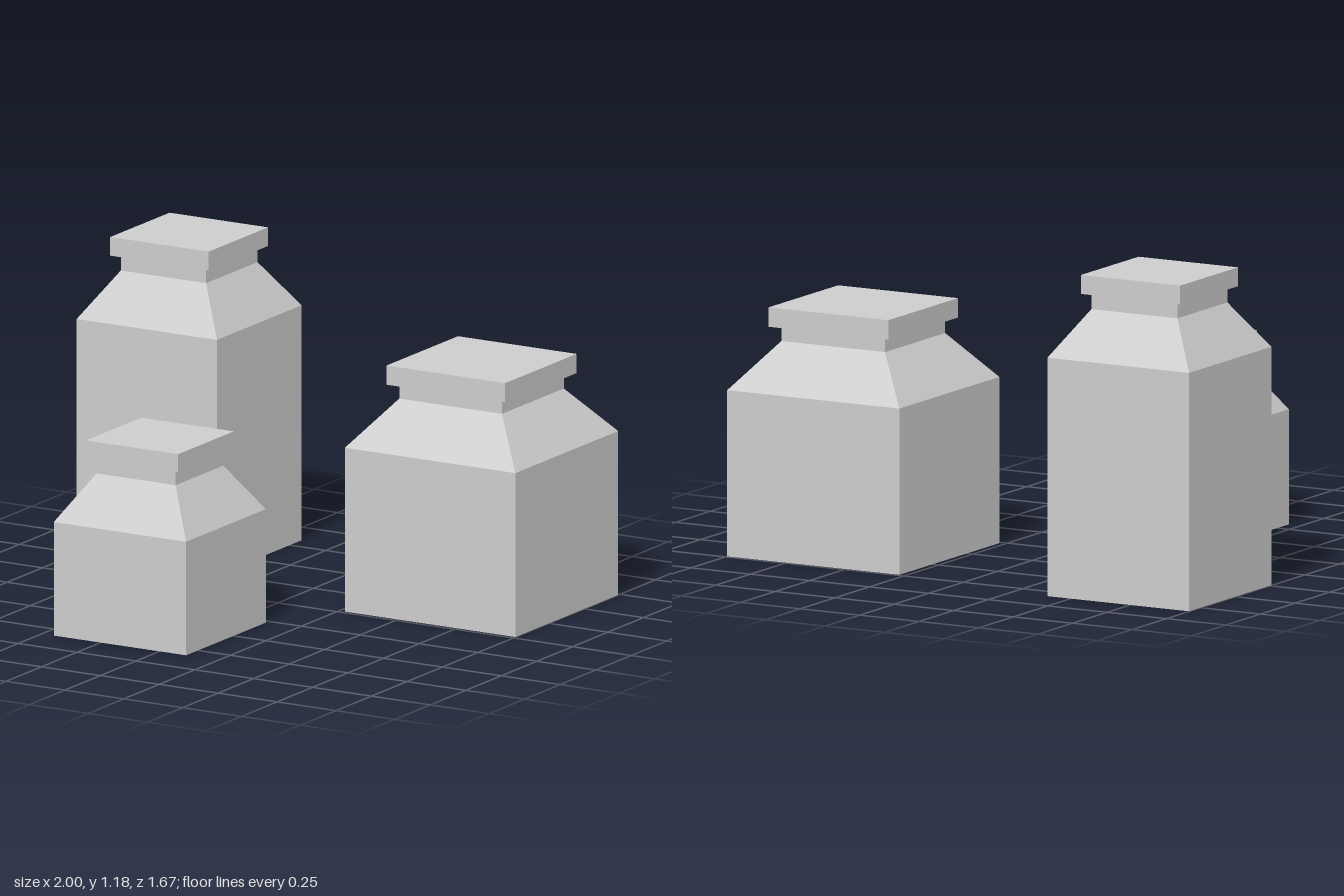
import * as THREE from 'three';

const grey = new THREE.MeshStandardMaterial({ color: 0xcccccc });
grey.name = 'plain grey';
grey.flatShading = true;

// Each jar: centre, half widths and the heights of its steps
const jars = [
  { name: 'tallJar', x: -0.70, z: -0.535, body: 0.298, neck: 0.181, lid: 0.209, y: [0.882, 1.054, 1.112, 1.182] },
  { name: 'smallJar', x: -0.168, z: 0.553, body: 0.281, neck: 0.168, lid: 0.196, y: [0.426, 0.599, 0.657, 0.725] },
  { name: 'wideJar', x: 0.637, z: -0.377, body: 0.362, neck: 0.218, lid: 0.252, y: [0.615, 0.787, 0.842, 0.914] },
];

// Square frustum standing on y0
function frustum(name, bottom, top, y0, y1) {
  const h = y1 - y0;
  const geometry = new THREE.CylinderGeometry(top * Math.SQRT2, bottom * Math.SQRT2, h, 4, 1, false, Math.PI / 4);
  const mesh = new THREE.Mesh(geometry, grey);
  mesh.name = name;
  mesh.position.y = y0 + h / 2;
  return mesh;
}

function makeJar({ name, x, z, body, neck, lid, y }) {
  const jar = new THREE.Group();
  jar.name = name;
  jar.position.set(x, 0, z);
  jar.add(
    frustum('body', body, body, 0, y[0]),
    frustum('shoulder', body, neck, y[0], y[1]),
    frustum('neck', neck, neck, y[1], y[2]),
    frustum('lid', lid, lid, y[2], y[3]),
  );
  return jar;
}

export function createModel() {
  const model = new THREE.Group();
  model.name = 'squareJars';
  jars.forEach((j) => model.add(makeJar(j)));
  return model;
}
